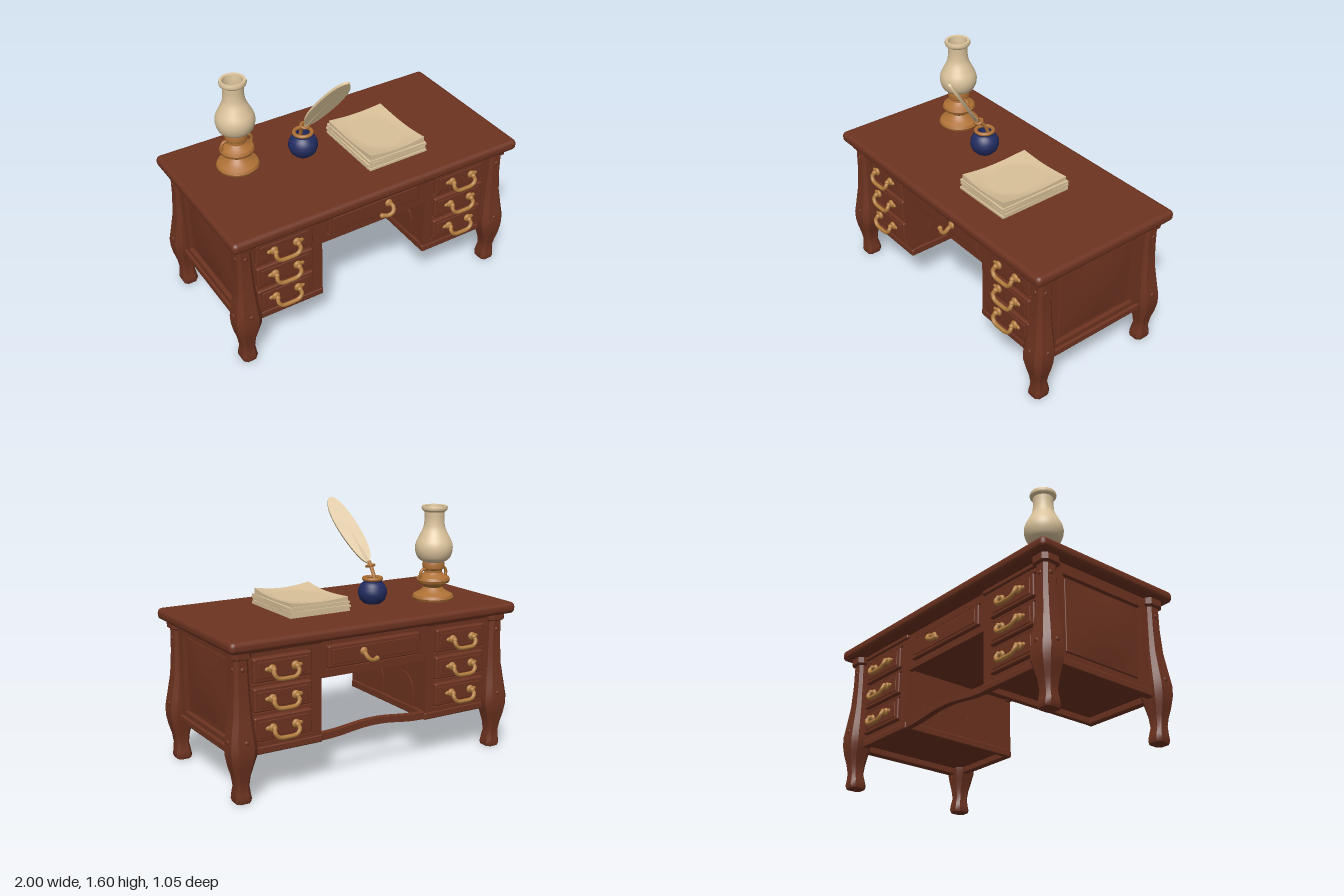
import * as THREE from 'three';
import { toCreasedNormals } from 'three/addons/utils/BufferGeometryUtils.js';
import { RoundedBoxGeometry } from 'three/addons/geometries/RoundedBoxGeometry.js';

const material = (name, color, side = THREE.FrontSide) => {
  const m = new THREE.MeshStandardMaterial({ color, side });
  m.name = name;
  return m;
};

export function createModel() {
  const wood = material('mahogany', 0x6d3320);
  const brass = material('brass', 0xb27d3e);
  const bronze = material('lamp bronze', 0xae7035);
  const glass = material('frosted glass', 0xdcc49c, THREE.DoubleSide);
  const paper = material('paper', 0xd8c098, THREE.DoubleSide);
  const ink = material('blue glaze', 0x222c60, THREE.DoubleSide);

  const root = new THREE.Group();
  root.name = 'writingDesk';
  const add = (parent, name, geo, mat, x = 0, y = 0, z = 0) => {
    const m = new THREE.Mesh(geo, mat);
    m.name = name;
    m.position.set(x, y, z);
    parent.add(m);
    return m;
  };
  const group = (parent, name) => {
    const g = new THREE.Group();
    g.name = name;
    parent.add(g);
    return g;
  };
  // Rounded block given by its bounds
  const block = (parent, name, [x0, x1], [y0, y1], [z0, z1], r = 0.008) =>
    add(parent, name, new RoundedBoxGeometry(x1 - x0, y1 - y0, z1 - z0, 3, r), wood,
      (x0 + x1) / 2, (y0 + y1) / 2, (z0 + z1) / 2);
  const rect = (C, x0, x1, y0, y1) => {
    const p = new C();
    p.moveTo(x0, y0).lineTo(x1, y0).lineTo(x1, y1).lineTo(x0, y1).closePath();
    return p;
  };
  // Flat frame with rectangular openings
  const frame = (outer, holes, depth) => {
    const s = rect(THREE.Shape, ...outer);
    s.holes = holes.map(h => rect(THREE.Path, ...h));
    return new THREE.ExtrudeGeometry(s, { depth, bevelEnabled: false });
  };
  const spline = pts => new THREE.CatmullRomCurve3(pts.map(p => new THREE.Vector3(...p)));
  const tube = (pts, r) => new THREE.TubeGeometry(spline(pts), 20, r, 8);
  const lathe = pts => toCreasedNormals(
    new THREE.LatheGeometry(pts.map(p => new THREE.Vector2(...p)), 32), 0.7);
  const ball = (r, sx = 1, sy = 1, sz = 1) => new THREE.SphereGeometry(r, 14, 10).scale(sx, sy, sz);

  // Desk top
  block(root, 'deskTop', [-1, 1], [0.89, 0.962], [-0.525, 0.525], 0.03);

  // Cabriole legs: chamfered sections [y, inner x, outer x, inner z, outer z]
  const sections = [
    [0, 0.86, 0.95, 0.367, 0.468], [0.02, 0.855, 0.957, 0.362, 0.474], [0.05, 0.86, 0.955, 0.367, 0.468],
    [0.1, 0.868, 0.95, 0.38, 0.465], [0.16, 0.862, 0.958, 0.372, 0.475], [0.22, 0.845, 0.975, 0.362, 0.49],
    [0.28, 0.825, 0.986, 0.352, 0.5], [0.34, 0.822, 0.988, 0.348, 0.5], [0.42, 0.832, 0.976, 0.35, 0.488],
    [0.55, 0.845, 0.956, 0.357, 0.471], [0.7, 0.853, 0.947, 0.364, 0.463], [0.84, 0.858, 0.946, 0.366, 0.461],
    [0.85, 0.84, 0.963, 0.345, 0.48], [0.89, 0.84, 0.963, 0.345, 0.48]];
  const legGeometry = (sx, sz) => {
    const pos = [], idx = [], n = 8;
    for (const [y, xi, xo, zi, zo] of sections) {
      const cx = sx * (xi + xo) / 2, cz = sz * (zi + zo) / 2, a = (xo - xi) / 2, b = (zo - zi) / 2, k = 0.6;
      for (const [u, v] of [[1, -k], [1, k], [k, 1], [-k, 1], [-1, k], [-1, -k], [-k, -1], [k, -1]])
        pos.push(cx + u * a, y, cz + v * b);
    }
    const last = (sections.length - 1) * n;
    for (let j = 0; j < last; j += n) for (let i = 0; i < n; i++) {
      const a = j + i, b = j + (i + 1) % n;
      idx.push(a, a + n, b, a + n, b + n, b);
    }
    for (let i = 1; i < n - 1; i++) idx.push(0, i, i + 1, last, last + i + 1, last + i);
    const g = new THREE.BufferGeometry();
    g.setAttribute('position', new THREE.Float32BufferAttribute(pos, 3));
    g.setIndex(idx);
    return toCreasedNormals(g, 0.6);
  };
  for (const sx of [1, -1]) for (const sz of [1, -1]) {
    const leg = group(root, (sz > 0 ? 'front' : 'back') + (sx > 0 ? 'Left' : 'Right') + 'Leg');
    add(leg, 'cabrioleLeg', legGeometry(sx, sz), wood);
    for (const [y, x, z] of [[0.785, 0.946, 0.461], [0.37, 0.983, 0.495]]) {
      add(leg, 'sideStud', ball(0.014, 0.5), wood, sx * x, y, sz * 0.42);
      add(leg, 'faceStud', ball(0.014, 1, 1, 0.5), wood, sx * 0.9, y, sz * z);
    }
  }

  // Gently domed panel for the desk ends
  const domed = new THREE.PlaneGeometry(0.55, 0.44, 12, 12);
  const dp = domed.attributes.position;
  for (let i = 0; i < dp.count; i++)
    dp.setZ(i, 0.016 * (1 - (dp.getX(i) / 0.275) ** 2) * (1 - (dp.getY(i) / 0.22) ** 2));
  domed.computeVertexNormals();

  // Pedestals with panelled ends
  for (const s of [1, -1]) {
    const ped = group(root, s > 0 ? 'leftPedestal' : 'rightPedestal');
    const span = (a, b) => s > 0 ? [a, b] : [-b, -a];
    block(ped, 'carcass', span(0.385, 0.895), [0.3, 0.89], [-0.4, 0.4]);
    block(ped, 'innerBaseRail', span(0.37, 0.4), [0.26, 0.31], [-0.42, 0.42]);
    block(ped, 'endBaseRail', span(0.89, 0.94), [0.26, 0.305], [-0.37, 0.37]);
    const end = add(ped, 'endFrame', frame([-0.37, 0.37, 0.27, 0.89], [[-0.31, 0.31, 0.335, 0.825]], 0.03), wood, s * 0.893);
    end.rotation.y = s * Math.PI / 2;
    block(ped, 'endPanel', span(0.88, 0.905), [0.365, 0.812], [-0.28, 0.28], 0.006);
    add(ped, 'endPanelField', domed, wood, s * 0.906, 0.5885).rotation.y = s * Math.PI / 2;
    // Arched reliefs on the kneehole wall
    for (const z of [-0.17, 0.17]) {
      const arch = new THREE.Shape();
      arch.moveTo(-0.12, 0.31).lineTo(0.12, 0.31).lineTo(0.12, 0.4).absarc(0, 0.4, 0.12, 0, Math.PI).closePath();
      const a = add(ped, 'archRelief', new THREE.ExtrudeGeometry(arch, { depth: 0.008, bevelEnabled: false }), wood, s * 0.386, 0, z);
      a.rotation.y = -s * Math.PI / 2;
    }
  }

  // Swinging bail handle
  const bailHandle = (parent, x, y, z) => {
    const h = group(parent, 'drawerHandle');
    h.position.set(x, y, z);
    for (const s of [1, -1]) {
      add(h, 'rosette', ball(0.026, 1, 1, 0.6), brass, s * 0.075, 0, 0.004);
      add(h, 'ear', ball(0.018, 1.3, 0.8, 0.5), brass, s * 0.099, 0, 0.003);
      add(h, 'pivot', ball(0.016), brass, s * 0.075, 0, 0.025);
    }
    add(h, 'bail', tube([[-0.075, 0, 0.025], [-0.08, -0.022, 0.04], [-0.06, -0.048, 0.046], [0, -0.055, 0.047],
      [0.06, -0.048, 0.046], [0.08, -0.022, 0.04], [0.075, 0, 0.025]], 0.013), brass);
  };
  const drawer = (parent, x, y, z) => {
    block(parent, 'drawerFront', [x[0] + 0.008, x[1] - 0.008], [y[0] + 0.008, y[1] - 0.008], [z - 0.05, z], 0.01);
    block(parent, 'drawerRaisedPanel', [x[0] + 0.035, x[1] - 0.035], [y[0] + 0.03, y[1] - 0.03], [z - 0.01, z + 0.004], 0.004);
  };

  // Matching drawer faces, front and back
  const rows = [[0.33, 0.49], [0.505, 0.663], [0.678, 0.837]];
  for (const f of [1, -1]) {
    const face = group(root, f > 0 ? 'frontFace' : 'backFace');
    if (f < 0) face.rotation.y = Math.PI;
    for (const s of [1, -1]) {
      const span = (a, b) => s > 0 ? [a, b] : [-b, -a];
      const dx = span(0.438, 0.828);
      add(face, 'pedestalFrame', frame([...span(0.375, 0.875), 0.262, 0.89], rows.map(r => [...dx, ...r]), 0.03), wood, 0, 0, 0.392);
      block(face, 'cornice', span(0.372, 0.88), [0.862, 0.892], [0.4, 0.436], 0.01);
      block(face, 'baseMoulding', span(0.37, 0.87), [0.258, 0.305], [0.385, 0.427], 0.01);
      for (const r of rows) {
        drawer(face, dx, r, 0.436);
        bailHandle(face, s * 0.635, (r[0] + r[1]) / 2 + 0.005, 0.443);
      }
    }
    // Centre drawer and its hook pull
    add(face, 'centreFrame', frame([-0.39, 0.39, 0.645, 0.89], [[-0.335, 0.335, 0.69, 0.842]], 0.03), wood, 0, 0, 0.383);
    drawer(face, [-0.335, 0.335], [0.69, 0.842], 0.426);
    const pull = group(face, 'centrePull');
    pull.position.set(f * 0.09, 0.775, 0.43);
    add(pull, 'rosette', ball(0.025, 1, 1, 0.6), brass, 0, 0, 0.004);
    add(pull, 'hook', tube([[0, 0, 0], [f * 0.01, -0.005, 0.035], [0, -0.032, 0.055],
      [-f * 0.03, -0.048, 0.055], [-f * 0.07, -0.046, 0.04]], 0.013), brass);
    add(pull, 'hookEnd', ball(0.016), brass, -f * 0.07, -0.046, 0.04);
  }
  block(root, 'centreCarcass', [-0.39, 0.39], [0.66, 0.89], [-0.39, 0.39]);

  // Curved stretcher across the back
  const rail = new THREE.Shape();
  rail.moveTo(-0.38, 0.265);
  rail.bezierCurveTo(-0.2, 0.265, -0.15, 0.295, 0, 0.295);
  rail.bezierCurveTo(0.15, 0.295, 0.2, 0.265, 0.38, 0.265);
  rail.lineTo(0.38, 0.308);
  rail.bezierCurveTo(0.2, 0.308, 0.15, 0.335, 0, 0.335);
  rail.bezierCurveTo(-0.15, 0.335, -0.2, 0.308, -0.38, 0.308);
  add(root, 'backStretcher', new THREE.ExtrudeGeometry(rail, { depth: 0.04, bevelEnabled: false }), wood, 0, 0, -0.42);

  // Oil lamp
  const lamp = group(root, 'oilLamp');
  lamp.position.set(-0.615, 0.962, -0.158);
  add(lamp, 'lampBase', lathe([[0, 0], [0.125, 0], [0.132, 0.015], [0.125, 0.032], [0.1, 0.045], [0.075, 0.06], [0.058, 0.08],
    [0.07, 0.095], [0.1, 0.11], [0.107, 0.128], [0.1, 0.145], [0.07, 0.16], [0.055, 0.175], [0.055, 0.19],
    [0.068, 0.2], [0.072, 0.225], [0.066, 0.245], [0.045, 0.25], [0.035, 0.29], [0, 0.3]]), bronze);
  for (const s of [1, -1])
    add(lamp, 'lampHandle', tube([[s * 0.06, 0.195, 0], [s * 0.086, 0.195, 0], [s * 0.1, 0.17, 0], [s * 0.094, 0.135, 0]], 0.01), bronze);
  const chimney = spline([[0.065, 0.24, 0], [0.1, 0.265, 0], [0.119, 0.315, 0], [0.116, 0.36, 0], [0.093, 0.41, 0],
    [0.07, 0.46, 0], [0.063, 0.51, 0], [0.064, 0.56, 0]]).getPoints(28).map(p => [p.x, p.y]);
  add(lamp, 'lampChimney', lathe([...chimney, [0.08, 0.572], [0.083, 0.585], [0.078, 0.599], [0.062, 0.597], [0.057, 0.56]]), glass);

  // Inkwell
  const well = group(root, 'inkwell');
  well.position.set(-0.215, 0.962, -0.06);
  add(well, 'inkPot', lathe([[0, 0], [0.055, 0], [0.08, 0.025], [0.092, 0.06], [0.09, 0.09], [0.075, 0.12], [0.058, 0.135],
    [0.058, 0.15], [0.042, 0.15], [0.042, 0.12], [0, 0.12]]), ink);
  add(well, 'inkRim', new THREE.TorusGeometry(0.055, 0.012, 10, 32).rotateX(Math.PI / 2), bronze, 0, 0.156, 0);

  // Quill pen, its vane turned slightly about the shaft
  const quill = group(root, 'quill');
  add(quill, 'quillStem', tube([[-0.215, 1.09, -0.09], [-0.218, 1.14, -0.068], [-0.225, 1.19, -0.025], [-0.224, 1.218, -0.004]], 0.012), bronze);
  add(quill, 'quillCollar', new THREE.TorusGeometry(0.024, 0.009, 8, 20).rotateX(Math.PI / 2 + 0.3), bronze, -0.224, 1.192, -0.02);
  const axis = new THREE.Vector3(0.115, 0.4, 0.285).normalize();
  const across = new THREE.Vector3(1, 0, 0).addScaledVector(axis, -axis.x).normalize().applyAxisAngle(axis, -0.3);
  const vane = new THREE.Shape();
  vane.moveTo(0, 0);
  vane.splineThru([[0.03, 0.05], [0.05, 0.14], [0.062, 0.25], [0.062, 0.36], [0.046, 0.45], [0.008, 0.503],
    [-0.03, 0.47], [-0.055, 0.38], [-0.065, 0.26], [-0.062, 0.15], [-0.042, 0.06], [0, 0]].map(p => new THREE.Vector2(...p)));
  const feather = new THREE.ExtrudeGeometry(vane, { depth: 0.016, bevelEnabled: false, curveSegments: 6 }).translate(0, 0, -0.008);
  const basis = new THREE.Matrix4().makeBasis(across, axis, across.clone().cross(axis)).setPosition(-0.225, 1.2, -0.005);
  add(quill, 'featherVane', feather.applyMatrix4(basis), paper);
  add(quill, 'featherShaft', new THREE.CylinderGeometry(0.007, 0.012, 0.46, 8).translate(0, 0.23, 0).applyMatrix4(basis), paper);

  // Stack of papers
  const stack = group(root, 'paperStack');
  stack.position.set(0.235, 0.962, 0.065);
  for (let i = 0; i < 5; i++) {
    const sheet = add(stack, 'sheet', new THREE.BoxGeometry(0.415 - 0.008 * (i % 2), 0.0135, 0.5 - 0.008 * (i % 2)), paper,
      0.004 * Math.sin(i * 2.3), 0.0065 + i * 0.0125, 0.004 * Math.cos(i * 1.9));
    sheet.rotation.y = 0.018 * Math.sin(i * 2.7);
  }
  // Curled sheets on top, rising toward the corners
  const top = new THREE.BoxGeometry(0.39, 0.012, 0.48, 20, 1, 20);
  const p = top.attributes.position;
  for (let i = 0; i < p.count; i++) {
    if (p.getY(i) < 0) continue;
    const r = Math.hypot(p.getX(i) / 0.195, p.getZ(i) / 0.24);
    p.setY(i, 0.008 + (0.04 + 0.04 * p.getZ(i)) * Math.max(0, r - 0.8));
  }
  add(stack, 'curledSheets', toCreasedNormals(top, 0.5), paper, 0, 0.063, 0);

  return root;
}
